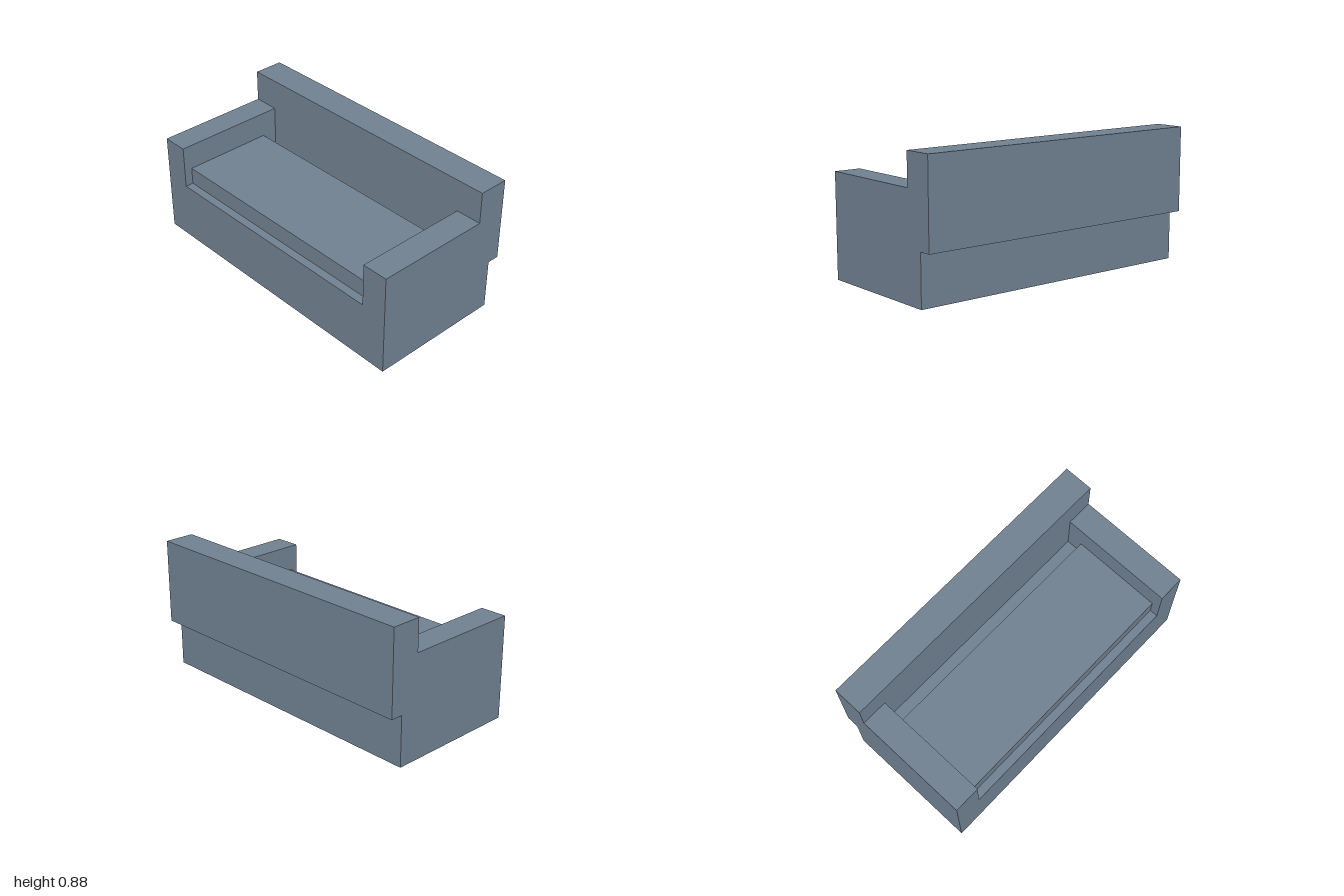
import * as THREE from 'three';

export function createModel() {
  const model = new THREE.Group();
  model.name = 'sofa';
  const fabric = new THREE.MeshStandardMaterial({ color: 0x708090 });
  fabric.name = 'slate grey fabric';

  const add = (name, geometry) => {
    const mesh = new THREE.Mesh(geometry, fabric);
    mesh.name = name;
    model.add(mesh);
  };

  // Box given by its lower and upper limits on each axis
  const block = (name, [x0, x1], [y0, y1], [z0, z1]) => {
    const geometry = new THREE.BoxGeometry(x1 - x0, y1 - y0, z1 - z0);
    geometry.translate((x0 + x1) / 2, (y0 + y1) / 2, (z0 + z1) / 2);
    add(name, geometry);
  };

  const front = 0.485, backFront = -0.285, armInner = 0.825, seatY = 0.39, armY = 0.675;

  // Seat base and both arms as one U-shaped body
  const outline = [
    [-1, 0], [1, 0], [1, armY], [armInner, armY],
    [armInner, seatY], [-armInner, seatY], [-armInner, armY], [-1, armY],
  ];
  const body = new THREE.ExtrudeGeometry(
    new THREE.Shape(outline.map(([x, y]) => new THREE.Vector2(x, y))),
    { depth: front - backFront, bevelEnabled: false }
  );
  body.translate(0, 0, backFront);
  add('baseAndArms', body);

  // Rear of the base, set in under the overhanging backrest
  block('rearBase', [-1, 1], [0, 0.33], [-0.405, backFront]);
  block('backrest', [-1, 1], [0.33, 0.885], [-0.485, backFront]);

  // Seat cushion, with a gap behind it and a ledge in front
  block('seatCushion', [-armInner, armInner], [seatY, 0.505], [-0.18, 0.43]);

  return model;
}
